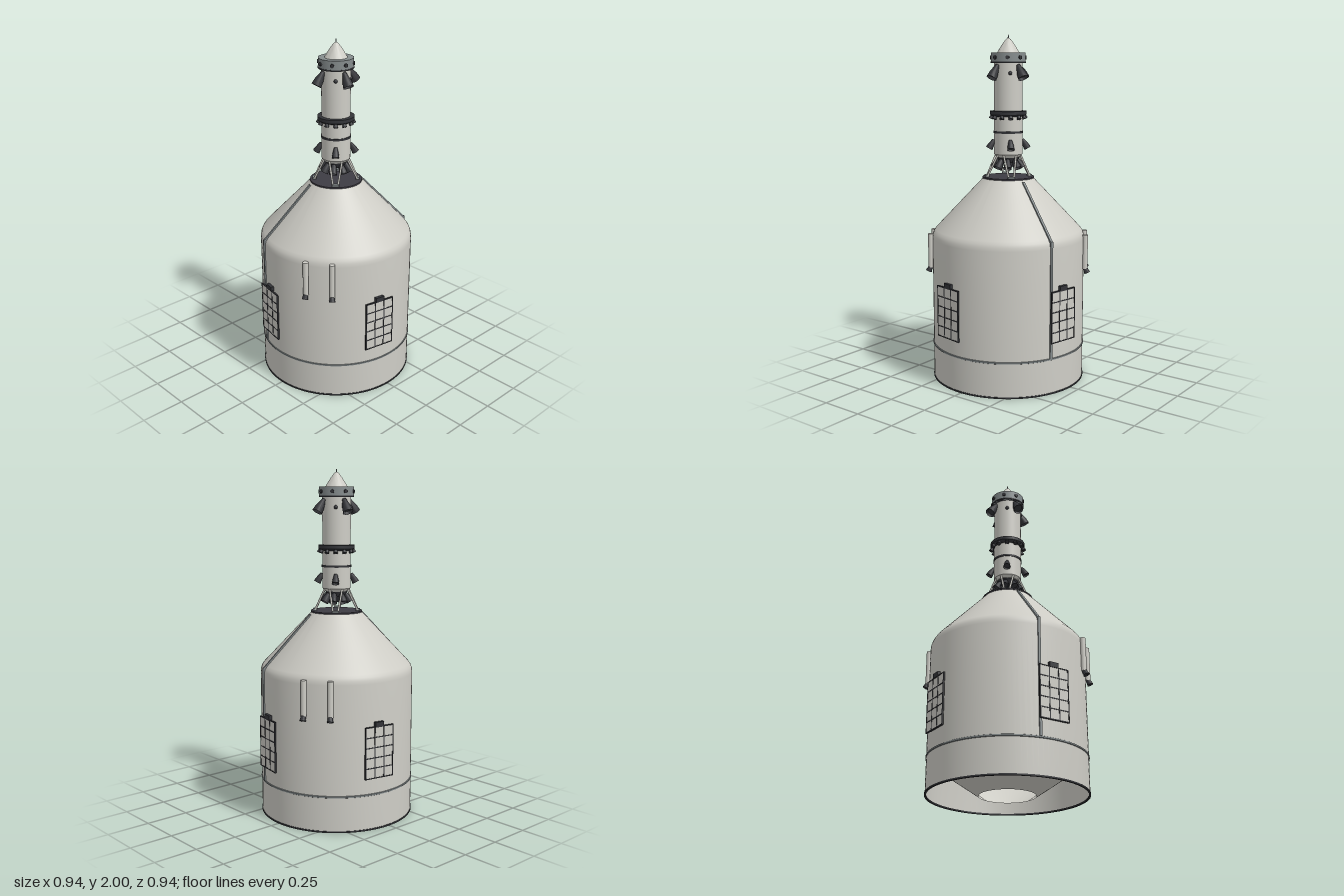
import * as THREE from 'three';
import { toCreasedNormals } from 'three/addons/utils/BufferGeometryUtils.js';

const paint = (name, color) => new THREE.MeshStandardMaterial({ name, color, side: THREE.DoubleSide });
const deg = Math.PI / 180;

export function createModel() {
  const hull = paint('hull off-white', 0xcecdc6);
  const dark = paint('nozzle charcoal', 0x333438);
  const deck = paint('deck slate', 0x3e3c44);
  const steel = paint('steel grey', 0x858c8d);
  const model = new THREE.Group();
  model.name = 'fairingWithEscapeTower';

  const add = (parent, name, geometry, material, x = 0, y = 0, z = 0) => {
    const mesh = new THREE.Mesh(geometry, material);
    mesh.name = name;
    mesh.position.set(x, y, z);
    parent.add(mesh);
    return mesh;
  };
  const lathe = (points, segments = 72) => toCreasedNormals(
    new THREE.LatheGeometry(points.map(p => new THREE.Vector2(...p)), segments), 0.45);
  const box = (w, h, d) => new THREE.BoxGeometry(w, h, d);
  // Group whose local +z points outward at the given heading
  const outward = (name, angle) => {
    const g = new THREE.Group();
    g.name = name;
    g.rotation.y = angle * deg;
    model.add(g);
    return g;
  };
  // Square or round bar joining two points
  const bar = (parent, name, a, b, geometryOf, material) => {
    const p = new THREE.Vector3(...a), q = new THREE.Vector3(...b);
    const mesh = add(parent, name, geometryOf(p.distanceTo(q)), material);
    mesh.position.copy(p).lerp(q, 0.5);
    mesh.quaternion.setFromUnitVectors(new THREE.Vector3(0, 1, 0), q.sub(p).normalize());
    return mesh;
  };
  // Bell nozzle pointing down and tilted outward
  const bell = (parent, name, y, z, r0, r1, h, tilt) => {
    const profile = [[0, -h * 0.8], [r1 * 0.85, -h * 0.8], [r1, -h], [r1 * 0.85, -h * 0.6], [r0, -h * 0.15], [r0 * 0.8, 0], [0, 0]];
    const mesh = add(parent, name, lathe(profile, 16), dark, 0, y, z);
    mesh.rotation.x = -tilt * deg;
    return mesh;
  };

  // Fairing shell with rounded shoulder, open at the bottom
  add(model, 'fairingShell', lathe([[0.445, 0.008], [0.445, 0.835], [0.443, 0.855], [0.437, 0.872],
    [0.426, 0.888], [0.145, 1.185]], 96), hull);
  add(model, 'baseRim', lathe([[0.438, 0], [0.448, 0], [0.448, 0.009], [0.438, 0.009], [0.438, 0]], 96), dark);
  add(model, 'seamRing', lathe([[0.445, 0.2], [0.449, 0.202], [0.449, 0.21], [0.445, 0.212]], 96), steel);
  add(model, 'innerAdapterCone', lathe([[0.157, 0.004], [0.443, 0.2]], 96), hull);
  add(model, 'topDeck', new THREE.CylinderGeometry(0.15, 0.15, 0.008, 64), deck, 0, 1.187, 0);

  // Cable rails down both sides
  for (const angle of [69, 249]) {
    const rail = outward('cableRail', angle);
    const strip = l => box(0.014, l, 0.012);
    bar(rail, 'railSlope', [0, 1.172, 0.16], [0, 0.872, 0.445], strip, steel);
    bar(rail, 'railUpright', [0, 0.878, 0.446], [0, 0.21, 0.446], strip, steel);
  }

  // Four lattice fins: backing plate, grid bars and hinge
  const W = 0.178, H = 0.29, Y = 0.45, R = 0.456;
  for (let k = 0; k < 4; k++) {
    const fin = outward('latticeFin', -11 + 90 * k);
    add(fin, 'finPlate', box(W, H, 0.006), hull, 0, Y, R);
    for (let i = 0; i <= 3; i++)
      add(fin, 'finUpright', box(0.006, H + 0.006, 0.009), dark, W * (i / 3 - 0.5), Y, R);
    for (let j = 0; j <= 5; j++)
      add(fin, 'finCrossbar', box(W, 0.006, 0.009), dark, 0, Y + H * (j / 5 - 0.5), R);
    add(fin, 'finHinge', box(0.054, 0.028, 0.02), dark, 0, 0.608, R - 0.003);
  }

  // Slim side motors in two pairs
  for (const angle of [-65.3, -46.3, 114.7, 133.7]) {
    const motor = outward('sideMotor', angle);
    add(motor, 'motorTube', new THREE.CylinderGeometry(0.016, 0.016, 0.2, 20), hull, 0, 0.76, 0.456);
    bell(motor, 'motorNozzle', 0.667, 0.456, 0.014, 0.018, 0.034, 25);
  }

  // Escape tower body, bands and nose
  add(model, 'towerBody', lathe([[0, 1.305], [0.07, 1.305], [0.082, 1.322], [0.082, 1.845]], 48), hull);
  add(model, 'towerSeam', new THREE.CylinderGeometry(0.086, 0.086, 0.012, 48), dark, 0, 1.45, 0);
  add(model, 'nozzleRing', lathe([[0.082, 1.538], [0.098, 1.543], [0.105, 1.55], [0.105, 1.57], [0.082, 1.572]], 48), dark);
  add(model, 'headBand', lathe([[0.08, 1.842], [0.099, 1.842], [0.099, 1.9], [0, 1.9]], 48), steel);
  add(model, 'headBandEdge', new THREE.CylinderGeometry(0.101, 0.101, 0.008, 48), dark, 0, 1.846, 0);
  add(model, 'noseCone', lathe([[0.064, 1.9], [0.052, 1.92], [0.033, 1.95], [0.014, 1.975], [0, 1.985]], 48), hull);
  add(model, 'noseProbe', new THREE.CylinderGeometry(0.0025, 0.004, 0.03, 10), steel, 0, 1.985, 0);

  // Ports around the head band
  for (let k = 0; k < 8; k++) {
    const port = outward('headPort', -11 + 45 * k);
    add(port, 'port', new THREE.CylinderGeometry(0.011, 0.011, 0.01, 14), dark, 0, 1.873, 0.1).rotation.x = Math.PI / 2;
  }

  // Small nozzles under the middle ring
  for (let k = 0; k < 12; k++)
    bell(outward('ringNozzle', 15 + 30 * k), 'nozzle', 1.552, 0.09, 0.009, 0.013, 0.028, 25);

  for (let k = 0; k < 4; k++) {
    // Large upper nozzles and small steering nozzles
    bell(outward('upperNozzle', -11 + 90 * k), 'nozzle', 1.83, 0.082, 0.014, 0.03, 0.085, 32);
    const steer = outward('steeringNozzle', 45 + 90 * k);
    bell(steer, 'nozzle', 1.405, 0.083, 0.012, 0.021, 0.058, 30);
    add(steer, 'upperStub', new THREE.SphereGeometry(0.011, 12, 8), dark, 0, 1.785, 0.082);

    // V struts carrying the tower
    const truss = outward('towerTruss', 45 + 90 * k);
    for (const s of [-1, 1])
      bar(truss, 'strut', [0.014 * s, 1.19, 0.125], [0.036 * s, 1.318, 0.066],
        l => new THREE.CylinderGeometry(0.006, 0.006, l, 10), hull);
    add(truss, 'strutFoot', box(0.04, 0.012, 0.024), steel, 0, 1.196, 0.124);
  }

  // Main motor cluster beneath the tower
  add(model, 'motorHub', new THREE.CylinderGeometry(0.066, 0.05, 0.035, 32), dark, 0, 1.29, 0);
  for (let k = 0; k < 8; k++)
    bell(outward('mainNozzle', 45 * k - 11), 'nozzle', 1.3, 0.045, 0.012, 0.024, 0.068, 32);

  return model;
}
